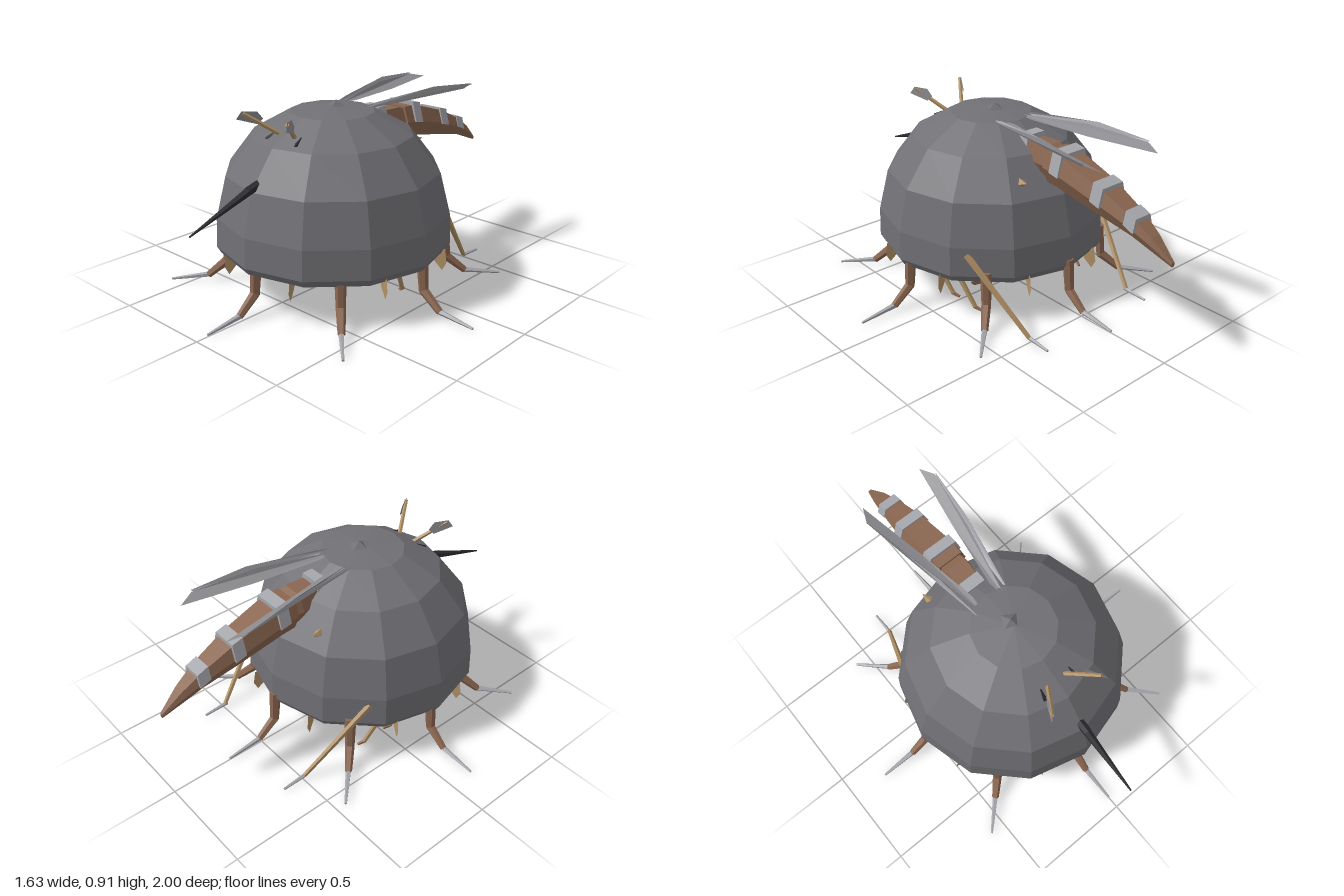
import * as THREE from 'three';

const mat = (name, color) => new THREE.MeshStandardMaterial({ name, color, flatShading: true, side: THREE.DoubleSide });
const shellGrey = mat('shellGrey', 0x717075);
const brown = mat('brown', 0x8a6650);
const tan = mat('tan', 0xb09065);
const silver = mat('silver', 0xa6a7ac);
const wingGrey = mat('wingGrey', 0x8d8d91);
const black = mat('black', 0x2b2a2e);
const V = (p) => new THREE.Vector3(...p);
const CZ = 0.15; // shell axis
const LEG_Z = 0.125; // centre of the leg circle

export function createModel() {
  const root = new THREE.Group();
  const add = (name, geo, m, parent = root) => {
    const mesh = new THREE.Mesh(geo, m);
    mesh.name = name;
    parent.add(mesh);
    return mesh;
  };
  // group turned about the leg circle's axis
  const turned = (name, angle, z = LEG_Z) => {
    const g = new THREE.Group();
    g.name = name;
    g.position.z = z;
    g.rotation.y = angle;
    root.add(g);
    return g;
  };
  const indexed = (pos, idx) => {
    const g = new THREE.BufferGeometry();
    g.setAttribute('position', new THREE.Float32BufferAttribute(pos, 3));
    g.setIndex(idx);
    g.computeVertexNormals();
    return g;
  };
  // tapered rod between two points
  const rod = (name, a, b, ra, rb, m, sides = 6, parent = root) => {
    const d = V(b).sub(V(a));
    const mesh = add(name, new THREE.CylinderGeometry(rb, ra, d.length(), sides), m, parent);
    mesh.position.copy(V(a)).addScaledVector(d, 0.5);
    mesh.quaternion.setFromUnitVectors(new THREE.Vector3(0, 1, 0), d.normalize());
    return mesh;
  };
  // thin polygon through a list of points (triangle fan)
  const plate = (name, pts, m, parent = root) => {
    const idx = [];
    for (let i = 1; i < pts.length - 1; i++) idx.push(0, i, i + 1);
    return add(name, indexed(pts.flat(), idx), m, parent);
  };
  // closed loft of one ring along z; sections are z, y, half width, half height
  const loft = (name, sections, ring, m) => {
    const n = ring.length, pos = [], idx = [], last = (sections.length - 1) * n;
    sections.forEach(([z, y, w, h], s) => ring.forEach(([rx, ry], k) => {
      pos.push(rx * w, y + ry * h, z);
      if (s < sections.length - 1) {
        const p = s * n + k, q = s * n + ((k + 1) % n);
        idx.push(p, p + n, q, q, p + n, q + n);
      }
    }));
    for (let k = 1; k < n - 1; k++) idx.push(0, k, k + 1, last, last + k + 1, last + k);
    return add(name, indexed(pos, idx), m);
  };

  // domed shell with a shallow hollow underside, and a small crest
  const profile = [[0, 0.32], [0.25, 0.3], [0.53, 0.235], [0.548, 0.215], [0.567, 0.248], [0.562, 0.39],
    [0.512, 0.59], [0.382, 0.76], [0.2, 0.863], [0, 0.885]];
  add('shell', new THREE.LatheGeometry(profile.map((p) => new THREE.Vector2(...p)), 12), shellGrey).position.z = CZ;
  rod('crest', [0, 0.865, 0.125], [0, 0.907, 0.125], 0.07, 0.001, shellGrey, 4).rotation.y = 0.3;

  // eight outer legs with a flat radial tooth between each pair
  for (let i = 0; i < 8; i++) {
    const leg = turned('outerLeg', (i * Math.PI) / 4);
    rod('thigh', [0.525, 0.27, 0], [0.54, 0.1, 0], 0.028, 0.022, brown, 6, leg);
    rod('shin', [0.538, 0.11, 0], [0.635, 0.03, 0], 0.023, 0.017, brown, 6, leg);
    rod('claw', [0.63, 0.032, 0], [0.815, 0.012, 0], 0.014, 0.006, silver, 5, leg);
    const tooth = turned('rimTooth', ((i + 0.5) * Math.PI) / 4, CZ - 0.01);
    plate('toothBlade', [[0.55, 0.24, 0], [0.475, 0.26, 0], [0.5, 0.175, 0], [0.54, 0.13, 0], [0.56, 0.17, 0]], tan, tooth);
  }

  // abdomen in two pieces with a step, and silver plates over its back
  const ring = [[1, 0], [0.72, 1], [-0.72, 1], [-1, 0], [-0.6, -1], [0.6, -1]];
  loft('abdomenRoot', [[-0.08, 0.735, 0.06, 0.075], [-0.27, 0.73, 0.078, 0.077], [-0.32, 0.725, 0.07, 0.06]], ring, brown);
  loft('abdomen', [[-0.305, 0.725, 0.086, 0.078], [-0.38, 0.722, 0.09, 0.08], [-0.62, 0.66, 0.077, 0.066],
    [-0.8, 0.6, 0.055, 0.045], [-0.9, 0.55, 0.036, 0.032], [-1, 0.488, 0.01, 0.01]], ring, brown);
  const saddle = [[1.12, -0.1], [0.82, 1.15], [-0.82, 1.15], [-1.12, -0.1]];
  for (const [z, y, w, h, slope] of [[-0.145, 0.745, 0.062, 0.077, 0], [-0.385, 0.724, 0.088, 0.08, 0.2],
    [-0.625, 0.66, 0.077, 0.067, 0.28], [-0.8, 0.6, 0.056, 0.049, 0.4]]) {
    const d = 0.028;
    loft('abdomenBand', [[z + d, y + d * slope, w, h], [z - d, y - d * slope, w, h]], saddle, silver);
  }

  // front spike
  rod('spikeBase', [0, 0.635, 0.56], [0, 0.6, 0.68], 0.022, 0.022, black);
  rod('spike', [0, 0.602, 0.67], [0, 0.487, 1], 0.021, 0.004, black);

  for (const s of [-1, 1]) {
    // paired wings swept backwards, outer edges raised
    plate('outerWing', [[s * 0.085, 0.857, 0.06], [s * 0.1, 0.88, -0.05], [s * 0.17, 0.907, -0.4],
      [s * 0.205, 0.885, -0.67], [s * 0.18, 0.858, -0.64], [s * 0.12, 0.85, -0.35]], silver);
    plate('innerWing', [[s * 0.06, 0.862, 0.03], [s * 0.05, 0.862, -0.08], [s * 0.1, 0.855, -0.4],
      [s * 0.165, 0.86, -0.75], [s * 0.2, 0.878, -0.67], [s * 0.145, 0.893, -0.35]], wingGrey);

    // antennae with flat clubs
    rod('antenna', [s * 0.04, 0.79, 0.43], [s * 0.14, 0.9, 0.57], 0.011, 0.009, tan, 5);
    plate('antennaClub', [[s * 0.115, 0.845, 0.51], [s * 0.1, 0.87, 0.49], [s * 0.11, 0.905, 0.515],
      [s * 0.145, 0.91, 0.575], [s * 0.16, 0.875, 0.595]], wingGrey);
    // eye and ear cones poking out of the shell
    rod('eye', [s * 0.075, 0.79, 0.43], [s * 0.095, 0.775, 0.48], 0.018, 0.008, black, 4);
    rod('ear', [s * 0.165, 0.655, -0.24], [s * 0.178, 0.67, -0.3], 0.03, 0.002, tan, 4);

    // slender inner legs
    rod('hindLeg', [s * 0.43, 0.355, -0.18], [s * 0.325, 0.02, -0.49], 0.016, 0.011, tan, 5);
    rod('hindFoot', [s * 0.325, 0.02, -0.48], [s * 0.325, 0.012, -0.61], 0.01, 0.006, silver, 5);
    for (const z of [-0.06, 0.11]) {
      rod('middleLeg', [s * 0.4, 0.28, z + 0.07], [s * 0.345, 0.025, z - 0.07], 0.016, 0.011, tan, 5);
      rod('middleFoot', [s * 0.345, 0.025, z - 0.06], [s * 0.33, 0.012, z - 0.1], 0.011, 0.007, brown, 5);
    }

    // stout central limbs, one turned half a circle from the other
    const limb = turned('centralLimb', s < 0 ? 0 : Math.PI);
    rod('upperLimb', [-0.06, 0.3, 0.01], [-0.135, 0.13, 0.125], 0.052, 0.042, tan, 6, limb);
    rod('lowerLimb', [-0.13, 0.14, 0.12], [-0.168, 0.06, 0.115], 0.042, 0.034, tan, 6, limb);
    rod('limbFoot', [-0.163, 0.075, 0.13], [-0.195, 0.02, 0.055], 0.034, 0.022, brown, 6, limb);
    plate('mandible', [[s * 0.03, 0.1, 0.12], [s * 0.07, 0.125, 0.22], [s * 0.15, 0.09, 0.24], [s * 0.11, 0.085, 0.12]], black);
  }

  // flat body set into the underside, with a hanging head
  rod('body', [0, 0.27, LEG_Z], [0, 0.33, LEG_Z], 0.2, 0.235, tan, 8);
  rod('neck', [0, 0.3, 0.12], [0, 0.2, 0.12], 0.065, 0.045, tan);
  rod('head', [0, 0.22, 0.12], [0, 0.12, 0.14], 0.045, 0.03, tan);
  return root;
}
